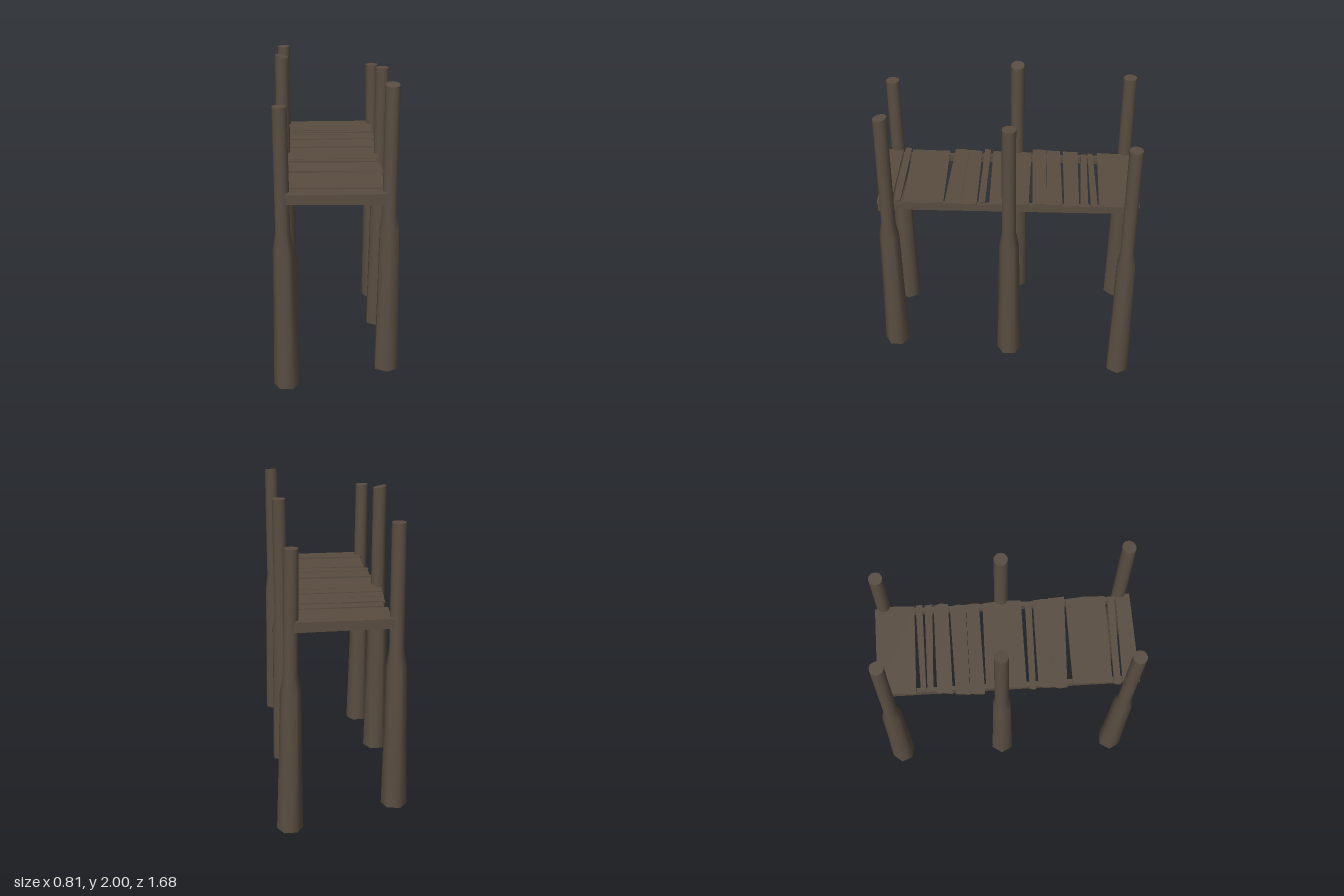
import * as THREE from 'three';

const wood = new THREE.MeshStandardMaterial({ color: 0x594d41, side: THREE.DoubleSide });
wood.name = 'weathered wood';

const SIDES = 12;
// height along the post, hexagon corner radius, roundness (0 hexagon, 1 circle)
const RINGS = [
  [0, 0.081, 0], [0.5, 0.07, 0], [0.905, 0.064, 0.2],
  [1.01, 0.045, 0.8], [1.4, 0.044, 1], [1.78, 0.043, 1],
];

// Driven pile: hexagonal, open-ended butt that necks in to a slim round top
function makePost({ name, base, top, y, turn, tilt = [0, 0] }) {
  const pos = [], index = [];
  const last = RINGS.length - 1;
  RINGS.forEach(([h, r, round], k) => {
    const t = h / 1.78;
    const cx = THREE.MathUtils.lerp(base[0], top[0], t);
    const cz = THREE.MathUtils.lerp(base[1], top[1], t);
    for (let i = 0; i < SIDES; i++) {
      const a = (i / SIDES) * Math.PI * 2 + turn;
      const flat = i % 2 ? THREE.MathUtils.lerp(0.866, 1, round) : 1;
      const dx = Math.cos(a) * r * flat, dz = Math.sin(a) * r * flat;
      const lean = k === last ? dx * tilt[0] + dz * tilt[1] : 0;
      pos.push(cx + dx, y + h + lean, cz + dz);
      if (k < last) {
        const p = k * SIDES + i, q = k * SIDES + (i + 1) % SIDES;
        index.push(p, p + SIDES, q, q, p + SIDES, q + SIDES);
      }
    }
  });
  const side = new THREE.BufferGeometry();
  side.setAttribute('position', new THREE.Float32BufferAttribute(pos, 3));
  side.setIndex(index);
  side.computeVertexNormals();

  // separate cap keeps the sawn edge crisp
  const cap = new THREE.BufferGeometry();
  cap.setAttribute('position', new THREE.Float32BufferAttribute(pos.slice(last * SIDES * 3), 3));
  const fan = [];
  for (let i = 1; i < SIDES - 1; i++) fan.push(0, i + 1, i);
  cap.setIndex(fan);
  cap.computeVertexNormals();

  const post = new THREE.Group();
  post.name = name;
  const shaft = new THREE.Mesh(side, wood), end = new THREE.Mesh(cap, wood);
  shaft.name = 'postShaft';
  end.name = 'postTop';
  post.add(shaft, end);
  return post;
}

// Plank with slightly crooked ends: z ranges at its two ends, x reach, end bulge
function makePlank([x0, x1, l0, l1, r0, r1, bulge, lift]) {
  const s = new THREE.Shape();
  const ml = (l0 + l1) / 2, mr = (r0 + r1) / 2;
  [[x0 + 0.008, -l0], [x0 - bulge, -ml], [x0, -l1], [x1, -r1], [x1 - bulge, -mr], [x1 - 0.005, -r0]]
    .forEach(([x, z], i) => (i ? s.lineTo(x, z) : s.moveTo(x, z)));
  const g = new THREE.ExtrudeGeometry(s, { depth: 0.015, bevelEnabled: false });
  g.rotateX(-Math.PI / 2);
  g.translate(0, 1.336 + lift, 0);
  const m = new THREE.Mesh(g, wood);
  m.name = 'deckPlank';
  return m;
}

function makeBeam(name, w, h, d, x, y, z, roll = 0) {
  const m = new THREE.Mesh(new THREE.BoxGeometry(w, h, d), wood);
  m.name = name;
  m.position.set(x, y, z);
  m.rotation.z = roll;
  return m;
}

export function createModel() {
  const model = new THREE.Group();
  model.name = 'woodenPier';

  // Six piles at uneven depths
  [
    { name: 'frontRightPost', base: [-0.315, 0.745], top: [-0.335, 0.757], y: 0.085, turn: 0.05 },
    { name: 'frontLeftPost', base: [0.3, 0.755], top: [0.31, 0.747], y: 0.205, turn: 0.52, tilt: [0, -0.2] },
    { name: 'middleRightPost', base: [-0.325, -0.045], top: [-0.33, -0.045], y: 0.21, turn: 0.08, tilt: [-0.2, 0] },
    { name: 'middleLeftPost', base: [0.298, -0.01], top: [0.31, -0.01], y: 0.14, turn: 0.5 },
    { name: 'backRightPost', base: [-0.33, -0.765], top: [-0.327, -0.758], y: 0.135, turn: 0.2 },
    { name: 'backLeftPost', base: [0.32, -0.762], top: [0.295, -0.768], y: 0, turn: 0 },
  ].forEach((p) => model.add(makePost(p)));

  // Frame under the deck
  for (const x of [-0.278, 0.265]) model.add(makeBeam('sideBeam', 0.03, 0.047, 1.6, x, 1.318, 0));
  for (const s of [-1, 1]) {
    model.add(makeBeam('endBeam', 0.595, 0.05, 0.03, -0.008, 1.315, s * 0.795, -0.012));
  }

  // Deck planks from back to front
  const deck = new THREE.Group();
  deck.name = 'deck';
  [
    [-0.305, 0.285, -0.815, -0.575, -0.82, -0.568, -0.008, 0.002],
    [-0.292, 0.292, -0.546, -0.512, -0.56, -0.517, 0, 0.004],
    [-0.29, 0.292, -0.505, -0.468, -0.502, -0.452, 0, 0],
    [-0.317, 0.287, -0.445, -0.348, -0.445, -0.352, -0.008, 0.003],
    [-0.328, 0.275, -0.33, -0.24, -0.342, -0.24, -0.006, 0.001],
    [-0.33, 0.28, -0.238, -0.148, -0.238, -0.155, 0, 0.006],
    [-0.305, 0.283, -0.14, 0.113, -0.132, 0.115, -0.006, 0.003],
    [-0.32, 0.27, 0.13, 0.17, 0.14, 0.182, 0, 0.007],
    [-0.312, 0.285, 0.187, 0.275, 0.192, 0.29, 0, 0.002],
    [-0.318, 0.293, 0.275, 0.365, 0.29, 0.395, 0.004, 0.005],
    [-0.308, 0.28, 0.402, 0.65, 0.4, 0.655, -0.006, 0.003],
    [-0.32, 0.272, 0.658, 0.7, 0.67, 0.712, 0, 0.008],
    [-0.31, 0.287, 0.712, 0.82, 0.726, 0.815, -0.004, 0.003],
  ].forEach((p) => deck.add(makePlank(p)));
  model.add(deck);

  return model;
}
